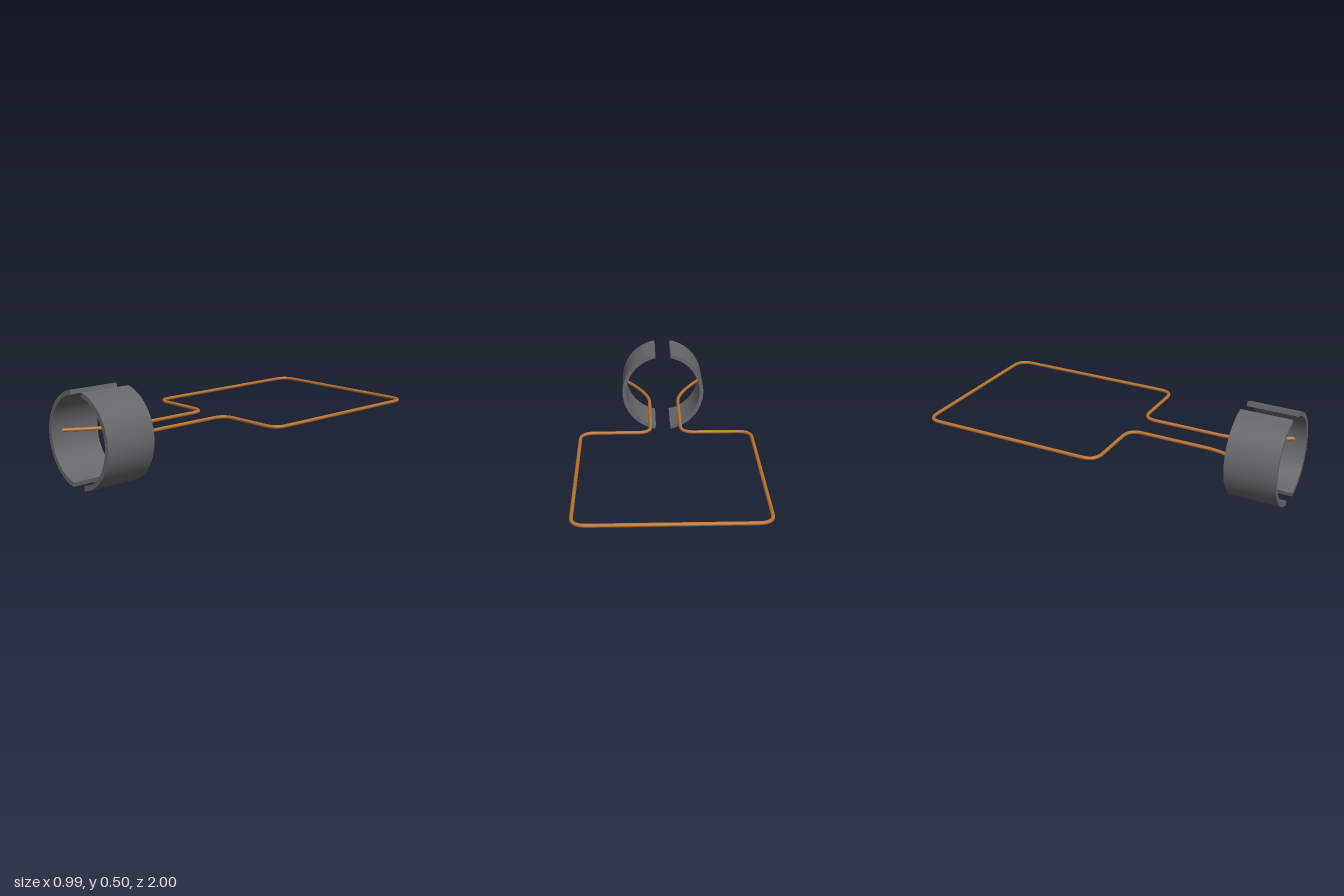
import * as THREE from 'three';
import { toCreasedNormals } from 'three/addons/utils/BufferGeometryUtils.js';

const AXIS_Y = 0.251;

// One half of the split ring, centred on the given angle
function splitRingHalf(name, middle, material) {
  const half = (7 / 16) * (Math.PI / 2) * 2;
  const shape = new THREE.Shape();
  shape.absarc(0, 0, 0.256, middle - half, middle + half, false);
  shape.absarc(0, 0, 0.232, middle + half, middle - half, true);
  const geometry = new THREE.ExtrudeGeometry(shape, { depth: 0.285, bevelEnabled: false, curveSegments: 14 });
  const mesh = new THREE.Mesh(toCreasedNormals(geometry, 0.5), material);
  mesh.name = name;
  mesh.position.set(0, AXIS_Y, 0.715);
  return mesh;
}

// Wire path with rounded corners and leads flaring out into the ring
function wirePath() {
  const P = (x, z) => new THREE.Vector3(x, AXIS_Y, z);
  const corners = [
    P(-0.087, 0.55), P(-0.087, 0.087), P(-0.485, 0.087), P(-0.485, -0.99),
    P(0.485, -0.99), P(0.485, 0.087), P(0.087, 0.087), P(0.087, 0.55),
  ];
  const path = new THREE.CurvePath();
  path.add(new THREE.QuadraticBezierCurve3(P(-0.244, 0.94), P(-0.087, 0.7), corners[0]));
  let from = corners[0];
  for (let i = 1; i < corners.length - 1; i++) {
    const c = corners[i];
    const toward = (p) => p.clone().sub(c).setLength(0.08).add(c);
    const start = toward(corners[i - 1]);
    const end = toward(corners[i + 1]);
    path.add(new THREE.LineCurve3(from, start));
    path.add(new THREE.QuadraticBezierCurve3(start, c, end));
    from = end;
  }
  path.add(new THREE.LineCurve3(from, corners[7]));
  path.add(new THREE.QuadraticBezierCurve3(corners[7], P(0.087, 0.7), P(0.244, 0.94)));
  path.arcLengthDivisions = 800;
  return path;
}

export function createModel() {
  const model = new THREE.Group();
  model.name = 'motorCoil';
  const copper = new THREE.MeshStandardMaterial({ color: 0xb87333 });
  const darkMetal = new THREE.MeshStandardMaterial({ color: 0x666769 });

  const wire = new THREE.Mesh(new THREE.TubeGeometry(wirePath(), 400, 0.01, 12, false), copper);
  wire.name = 'coilWire';
  model.add(wire);

  model.add(splitRingHalf('leftSplitRing', 0, darkMetal));
  model.add(splitRingHalf('rightSplitRing', Math.PI, darkMetal));
  return model;
}
